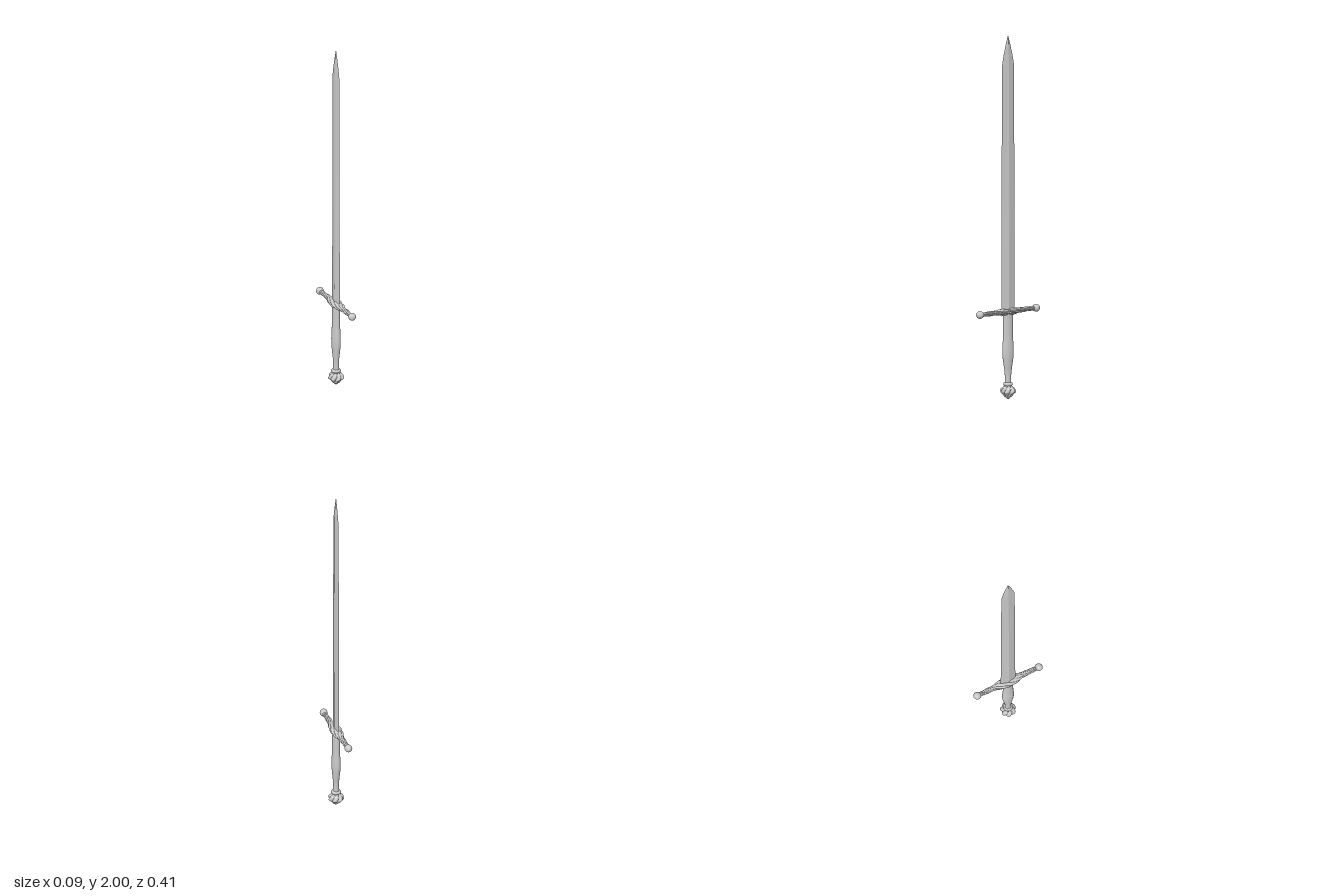
import * as THREE from 'three';

const V = (x, y, z) => new THREE.Vector3(x, y, z);

// Skin a list of closed rings, each counter-clockwise about the loft direction
function loft(rings) {
  const n = rings[0].length, idx = [];
  for (let i = 0; i < rings.length - 1; i++) {
    for (let j = 0; j < n; j++) {
      const a = i * n + j, b = i * n + (j + 1) % n;
      idx.push(a, b, b + n, a, b + n, a + n);
    }
  }
  const geo = new THREE.BufferGeometry().setFromPoints(rings.flat());
  geo.setIndex(idx);
  geo.computeVertexNormals();
  return geo;
}

// Interpolate a table of [position, value...] rows with smooth easing
function sample(rows, t, k = 1) {
  let i = 0;
  while (i < rows.length - 2 && t > rows[i + 1][0]) i++;
  const [a, b] = [rows[i], rows[i + 1]];
  return THREE.MathUtils.lerp(a[k], b[k], THREE.MathUtils.smoothstep(t, a[0], b[0]));
}

// Rounded strands separated by sharp grooves
const lobe = (angle, count, depth) => 1 - depth * (1 - Math.abs(Math.sin(angle * count / 2)));

const ring = (n, fn) => Array.from({ length: n }, (_, j) => fn(j / n * Math.PI * 2));

export function createModel() {
  const sword = new THREE.Group();
  const mat = new THREE.MeshStandardMaterial({ color: 0xcccccc });
  const flat = new THREE.MeshStandardMaterial({ color: 0xcccccc, flatShading: true });
  const add = (name, geo, material = mat) => {
    const mesh = new THREE.Mesh(geo, material);
    mesh.name = name;
    sword.add(mesh);
    return mesh;
  };

  // Blade: diamond section, [y, half width, half thickness]
  const blade = [[0.46, 0, 0], [0.46, 0.044, 0.011], [1.83, 0.04, 0.008],
    [1.89, 0.029, 0.007], [1.95, 0.014, 0.005], [2, 0, 0]];
  add('blade', loft(blade.map(([y, w, t]) => [V(t, y, 0), V(0, y, -w), V(-t, y, 0), V(0, y, w)])), flat);

  // Crossguard: twisted strands swelling around the blade, [z, half x, half y]
  const guard = [[0, 0.034, 0.019], [0.035, 0.029, 0.018], [0.09, 0.016, 0.014], [0.18, 0.013, 0.012]];
  const guardRings = [];
  for (let i = 0; i <= 64; i++) {
    const z = -0.18 + 0.36 * i / 64, d = Math.abs(z);
    guardRings.push(ring(72, a => {
      const r = lobe(a - z / 0.36 * Math.PI * 2.2, 6, 0.28);
      return V(Math.cos(a) * r * sample(guard, d), 0.482 + Math.sin(a) * r * sample(guard, d, 2), z);
    }));
  }
  add('crossguard', loft(guardRings));
  for (const s of [-1, 1]) {
    add(s > 0 ? 'frontGuardBall' : 'backGuardBall', new THREE.SphereGeometry(0.021, 24, 16))
      .position.set(0, 0.482, s * 0.185);
  }

  // Grip: oval section, [y, half x, half z]
  const grip = [[0.085, 0.016, 0.018], [0.12, 0.015, 0.018], [0.26, 0.023, 0.034],
    [0.36, 0.02, 0.03], [0.475, 0.018, 0.03]];
  const gripRings = [];
  for (let i = 0; i <= 30; i++) {
    const y = 0.085 + 0.39 * i / 30;
    gripRings.push(ring(24, a => V(Math.cos(a) * sample(grip, y), y, -Math.sin(a) * sample(grip, y, 2))));
  }
  add('grip', loft(gripRings));

  // Collar between grip and pommel
  const collar = [[0, 0.075], [0.02, 0.075], [0.026, 0.081], [0.026, 0.087], [0.02, 0.094], [0, 0.096]];
  add('collar', new THREE.LatheGeometry(collar.map(p => new THREE.Vector2(...p)), 24));

  // Pommel: seven twisted lobes tapering to a point, [y, radius]
  const pommel = [[0, 0], [0.006, 0.009], [0.022, 0.026], [0.043, 0.044], [0.056, 0.04], [0.072, 0.025], [0.084, 0.018]];
  const pommelRings = [];
  for (let i = 0; i <= 32; i++) {
    const y = 0.084 * i / 32;
    pommelRings.push(ring(84, a => {
      const r = sample(pommel, y) * lobe(a - y * 14, 7, 0.24);
      return V(Math.cos(a) * r, y, -Math.sin(a) * r);
    }));
  }
  add('pommel', loft(pommelRings));

  return sword;
}
